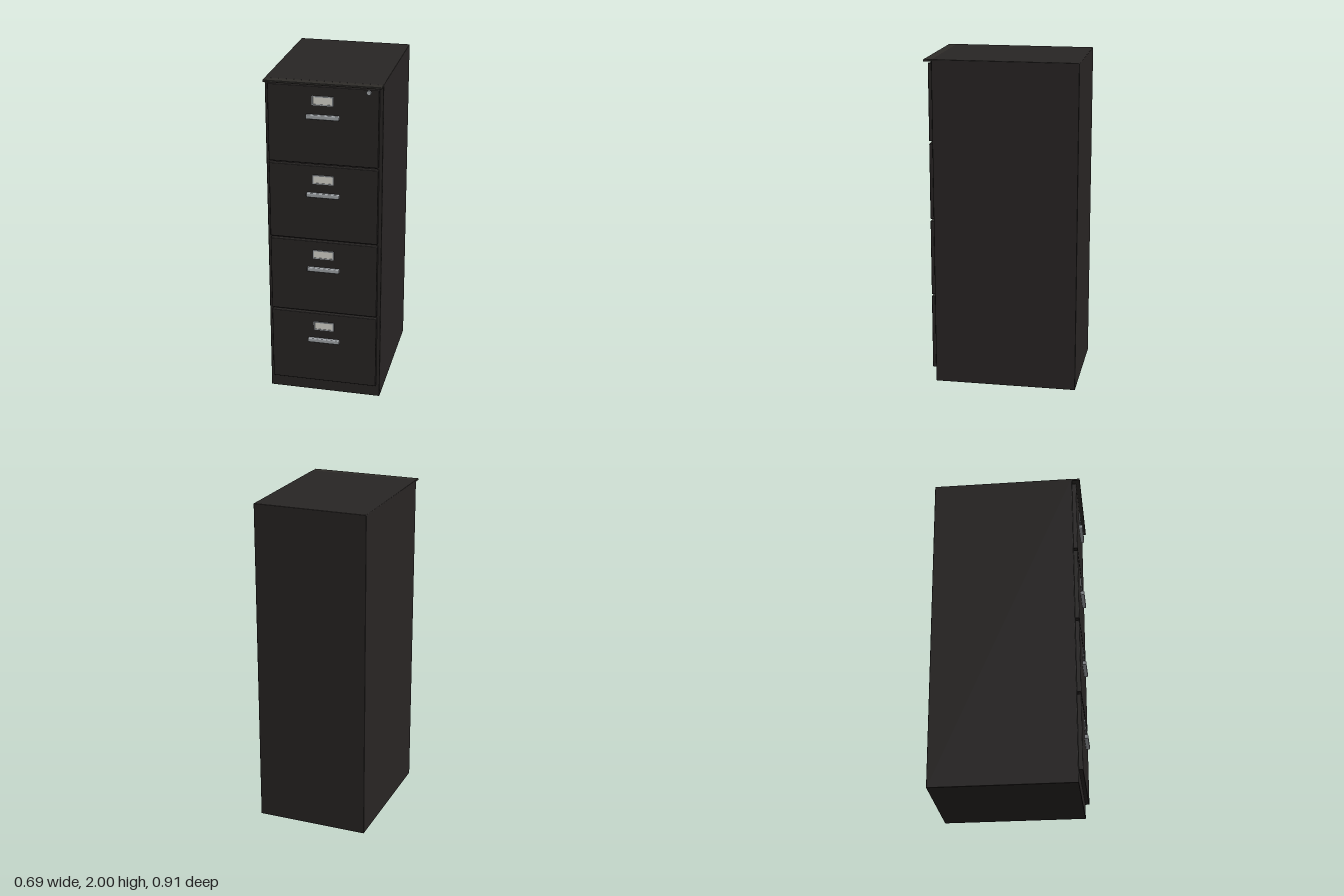
import * as THREE from 'three';
import { RoundedBoxGeometry } from 'three/addons/geometries/RoundedBoxGeometry.js';

const paint = (color) => new THREE.MeshStandardMaterial({ color });

export function createModel() {
  const group = new THREE.Group();
  const black = paint(0x282524), metal = paint(0xa4a8ac), card = paint(0xdcdad2);
  const dark = paint(0x2e2c29);

  const add = (parent, name, geometry, material, x, y, z) => {
    const mesh = new THREE.Mesh(geometry, material);
    mesh.name = name;
    mesh.position.set(x, y, z);
    parent.add(mesh);
    return mesh;
  };
  const box = (w, h, d, r) => r ? new RoundedBoxGeometry(w, h, d, 2, r) : new THREE.BoxGeometry(w, h, d);

  // cabinet shell and the thin top lip that overhangs the drawers
  add(group, 'cabinetBody', box(0.686, 2, 0.866, 0.004), black, 0, 1, -0.024);
  add(group, 'topLip', box(0.684, 0.012, 0.07, 0.003), dark, 0, 1.993, 0.423);

  // label frame: thin rectangular border
  const frame = new THREE.Shape([[-0.062, -0.027], [0.062, -0.027], [0.062, 0.027], [-0.062, 0.027]]
    .map(([x, y]) => new THREE.Vector2(x, y)));
  frame.holes.push(new THREE.Path([[-0.056, -0.021], [-0.056, 0.021], [0.056, 0.021], [0.056, -0.021]]
    .map(([x, y]) => new THREE.Vector2(x, y))));
  const frameGeometry = new THREE.ExtrudeGeometry(frame, { depth: 0.007, bevelEnabled: false });

  // four identical drawers
  for (let i = 0; i < 4; i++) {
    const drawer = new THREE.Group();
    drawer.name = `drawer${i + 1}`;
    drawer.position.y = 0.082 + i * 0.4765;
    group.add(drawer);
    add(drawer, 'drawerFront', box(0.644, 0.463, 0.03, 0.004), black, 0, 0.2315, 0.419);
    add(drawer, 'labelFrame', frameGeometry, metal, 0, 0.38, 0.433);
    add(drawer, 'labelCard', box(0.114, 0.044, 0.005), card, 0, 0.38, 0.4345);
    add(drawer, 'handle', box(0.194, 0.026, 0.024, 0.006), metal, 0, 0.286, 0.445);
  }

  // key lock in the corner of the top drawer
  const lock = add(group, 'lock', new THREE.CylinderGeometry(0.013, 0.013, 0.012, 24), metal, 0.265, 1.958, 0.438);
  lock.rotation.x = Math.PI / 2;

  return group;
}
